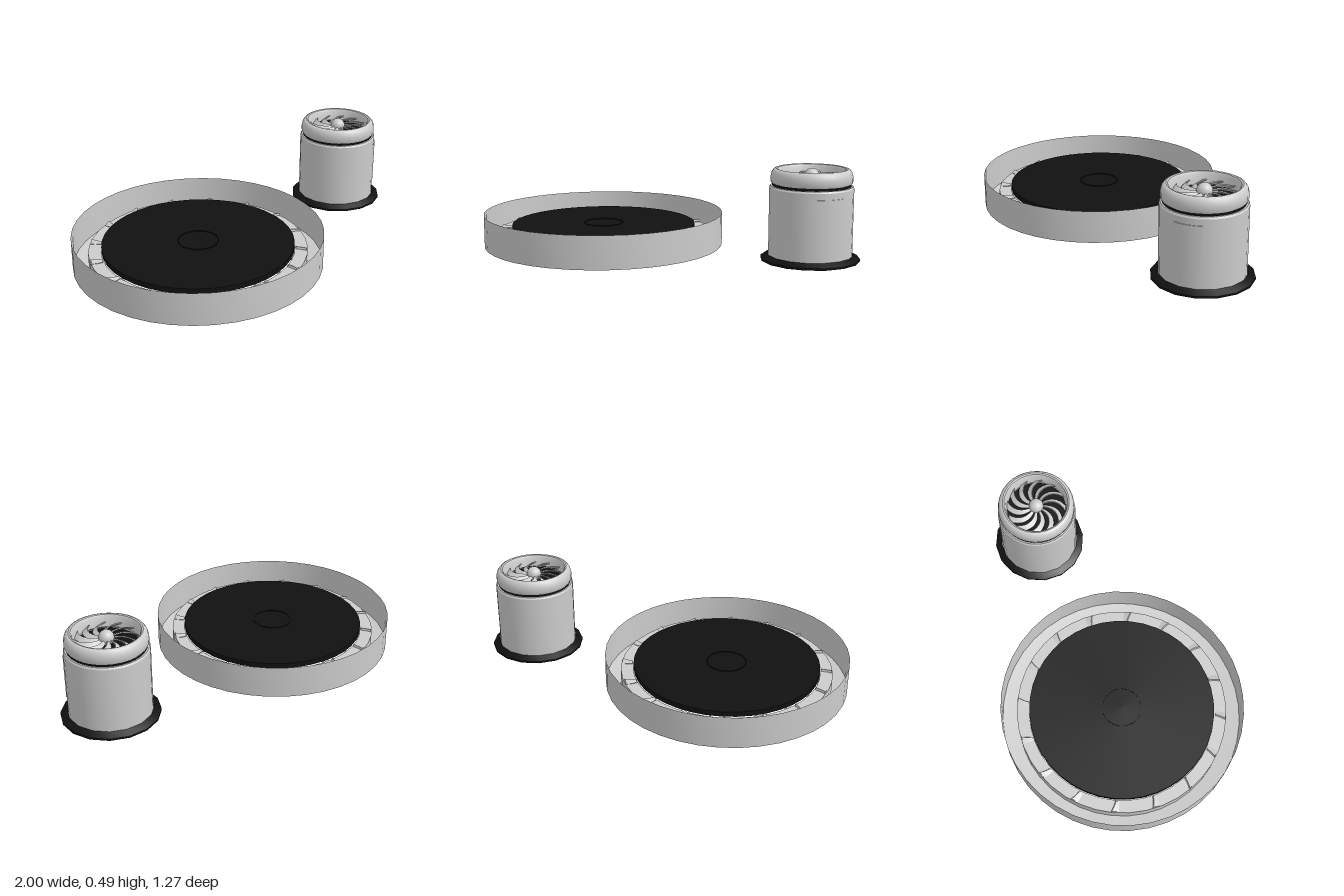
import * as THREE from 'three';
import { toCreasedNormals } from 'three/addons/utils/BufferGeometryUtils.js';

const grey = new THREE.MeshStandardMaterial({ color: 0xcccccc, side: THREE.DoubleSide });
const black = new THREE.MeshStandardMaterial({ color: 0x111111, side: THREE.DoubleSide });

function add(parent, name, geometry, material = grey) {
  const mesh = new THREE.Mesh(geometry, material);
  mesh.name = name;
  parent.add(mesh);
  return mesh;
}

// Turned part from [radius, height] pairs, optionally over a partial arc
function turned(profile, sides = 40, start = 0, arc = Math.PI * 2) {
  const points = profile.map(([r, y]) => new THREE.Vector2(r, y));
  return toCreasedNormals(new THREE.LatheGeometry(points, sides, start, arc), 0.5);
}

// Curved, twisted blade running outward along x
function blade({ r0, r1, y0, y1, w0, w1, sweep, pitch0, pitch1, thick }) {
  const geo = new THREE.BoxGeometry(1, thick, 1, 10, 1, 3);
  const pos = geo.attributes.position;
  for (let i = 0; i < pos.count; i++) {
    const t = pos.getX(i) + 0.5;
    const r = THREE.MathUtils.lerp(r0, r1, t);
    const pitch = THREE.MathUtils.lerp(pitch0, pitch1, t);
    const w = pos.getZ(i) * THREE.MathUtils.lerp(w0, w1, t);
    const h = pos.getY(i);
    const across = w * Math.cos(pitch) - h * Math.sin(pitch);
    const up = w * Math.sin(pitch) + h * Math.cos(pitch);
    const a = sweep * t * t + across / r;
    pos.setXYZ(i, r * Math.cos(a), THREE.MathUtils.lerp(y0, y1, t) + up, r * Math.sin(a));
  }
  return toCreasedNormals(geo, 0.6);
}

function ringOf(parent, name, count, geometry, offset = 0) {
  for (let i = 0; i < count; i++) {
    add(parent, name, geometry).rotation.y = offset + (i / count) * Math.PI * 2;
  }
}

function createDrum() {
  const g = new THREE.Group();
  g.name = 'drum';
  g.position.set(-0.365, 0, 0);

  // Thin open wall with a shallow conical underside
  add(g, 'outerWall', turned([[0.49, 0.012], [0.5, 0.012], [0.635, 0.035], [0.635, 0.205]]));
  // Inner barrel with its flat ledge
  add(g, 'innerBarrel', turned([[0.555, 0.022], [0.555, 0.11], [0.49, 0.11], [0.482, 0.025], [0.49, 0.012]]));
  // Dark backing plate and the tube through it
  add(g, 'backingPlate', turned([[0, 0.115], [0.488, 0.115], [0.488, 0.142], [0, 0.142]]), black);
  add(g, 'centreTube', turned([[0.1, 0.02], [0.1, 0.146], [0.105, 0.146], [0.105, 0.02]], 32), black);
  // Dished hub underneath
  add(g, 'hub', turned([[0.1, 0.05], [0.1, 0], [0.14, 0.002], [0.178, 0.025], [0.178, 0.05], [0.1, 0.06]], 32));

  // Curved spokes
  ringOf(g, 'spoke', 16, blade({
    r0: 0.16, r1: 0.495, y0: 0.04, y1: 0.052, w0: 0.045, w1: 0.085,
    sweep: 0.22, pitch0: 0.35, pitch1: 0.6, thick: 0.012,
  }));
  // Small fins on the ledge
  ringOf(g, 'ledgeFin', 16, blade({
    r0: 0.495, r1: 0.55, y0: 0.112, y1: 0.112, w0: 0.018, w1: 0.036,
    sweep: 0.02, pitch0: 0.35, pitch1: 0.35, thick: 0.012,
  }), Math.PI / 16);
  return g;
}

function createCanister() {
  const g = new THREE.Group();
  g.name = 'canister';
  g.position.set(0.75, 0, 0.13);

  // Base flange and recessed bottom
  add(g, 'baseFlange', turned([[0.212, 0.028], [0.25, 0.028], [0.25, 0.038], [0.215, 0.056]], 16), black);
  add(g, 'bottomRim', turned([[0.183, 0.05], [0.185, 0.032], [0.213, 0.032]], 32));
  add(g, 'bottomPlate', turned([[0, 0.055], [0.04, 0.055], [0.045, 0.05], [0.1, 0.05], [0.105, 0.055], [0.185, 0.055]], 32), black);

  // Body with chamfered shoulder
  add(g, 'body', turned([[0.21, 0.032], [0.21, 0.395], [0.204, 0.404], [0.19, 0.404]], 32));
  // Raised side panel
  add(g, 'sidePanel', turned([[0.209, 0.137], [0.213, 0.137], [0.213, 0.363], [0.209, 0.363]],
    8, 0.22, 0.65));
  add(g, 'neck', turned([[0.194, 0.4], [0.196, 0.405], [0.196, 0.42], [0.19, 0.424]], 32), black);

  // Rounded cap whose lip turns down into the bowl
  add(g, 'cap', turned([[0.19, 0.417], [0.2, 0.418], [0.204, 0.428], [0.204, 0.452], [0.199, 0.472],
    [0.189, 0.485], [0.178, 0.49], [0.17, 0.487], [0.163, 0.475], [0.157, 0.425]], 32));
  add(g, 'bowlFloor', turned([[0, 0.418], [0.158, 0.418]], 32), black);

  // Impeller
  ringOf(g, 'impellerBlade', 12, blade({
    r0: 0.03, r1: 0.157, y0: 0.446, y1: 0.441, w0: 0.014, w1: 0.045,
    sweep: 0.6, pitch0: 0.65, pitch1: 0.45, thick: 0.006,
  }));
  add(g, 'impellerHub', new THREE.SphereGeometry(0.039, 20, 14)).position.y = 0.452;
  return g;
}

export function createModel() {
  const model = new THREE.Group();
  model.name = 'model';
  model.add(createDrum(), createCanister());
  return model;
}
